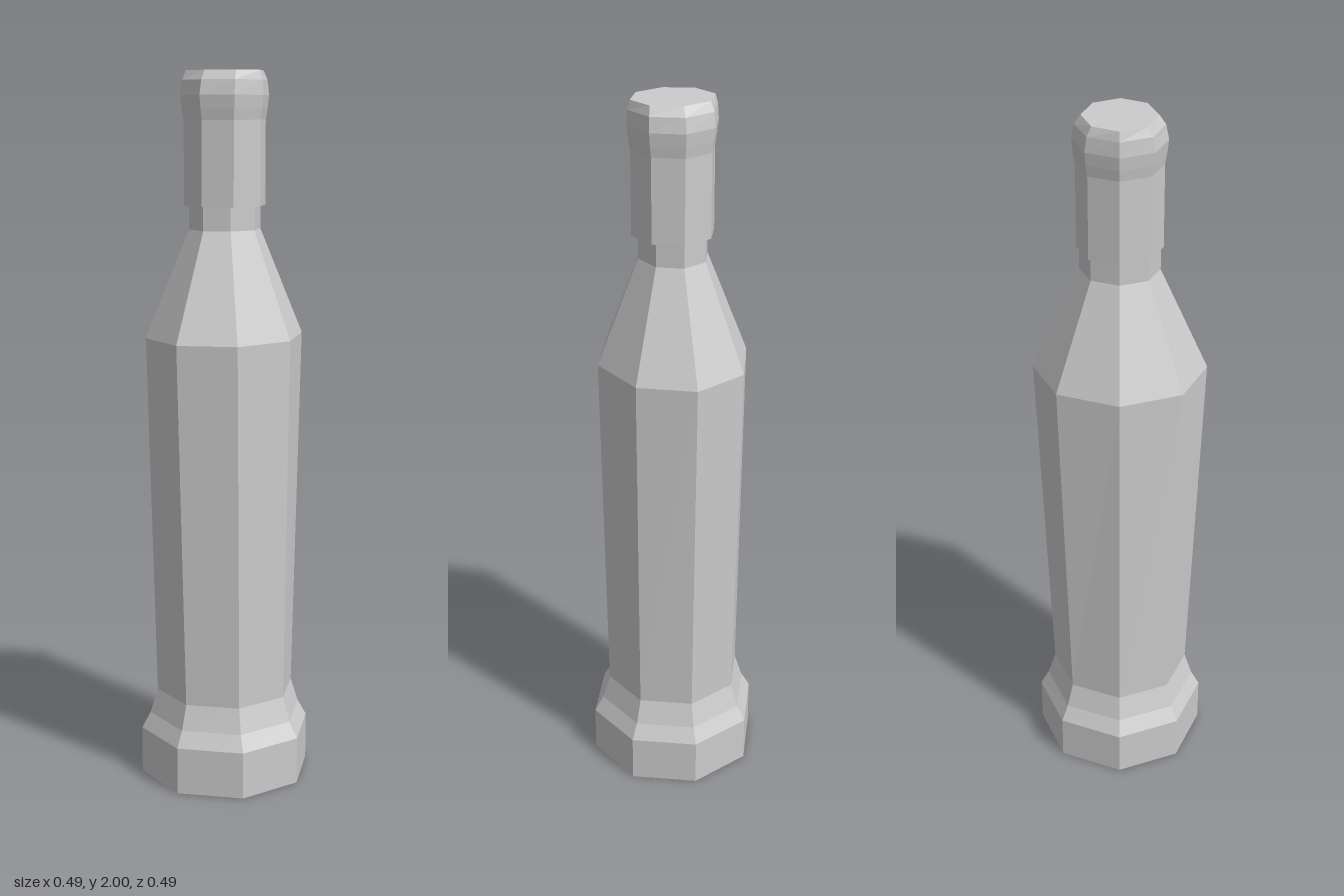
import * as THREE from 'three';

const material = new THREE.MeshStandardMaterial({ color: 0xcccccc, flatShading: true });

// Closed eight-sided solid through rings of [height, x radius, z radius], bottom to top
function octagonLoft(name, rings) {
  const rows = rings.length - 1;
  const geometry = new THREE.CylinderGeometry(1, 1, rows, 8, rows);
  const p = geometry.attributes.position;
  for (let i = 0; i < p.count; i++) {
    const [y, rx, rz] = rings[Math.round(p.getY(i) + rows / 2)];
    p.setXYZ(i, p.getX(i) * rx, y, p.getZ(i) * rz);
  }
  geometry.computeVertexNormals();
  const mesh = new THREE.Mesh(geometry, material);
  mesh.name = name;
  return mesh;
}

export function createModel() {
  const group = new THREE.Group();
  group.name = 'bottle';

  // Foot, flared waist, slightly oval body, sloping shoulder and neck
  group.add(octagonLoft('bottleBody', [
    [0, 0.246, 0.246],
    [0.135, 0.246, 0.246],
    [0.18, 0.22, 0.222],
    [0.25, 0.198, 0.2],
    [1.28, 0.212, 0.238],
    [1.575, 0.096, 0.107],
    [1.66, 0.096, 0.107],
  ]));

  // Collar wrapped over the neck, with a rounded lip
  group.add(octagonLoft('neckCap', [
    [1.64, 0.114, 0.114],
    [1.87, 0.114, 0.114],
    [1.9, 0.119, 0.119],
    [1.935, 0.123, 0.123],
    [1.975, 0.12, 0.115],
    [2, 0.113, 0.098],
  ]));

  return group;
}
